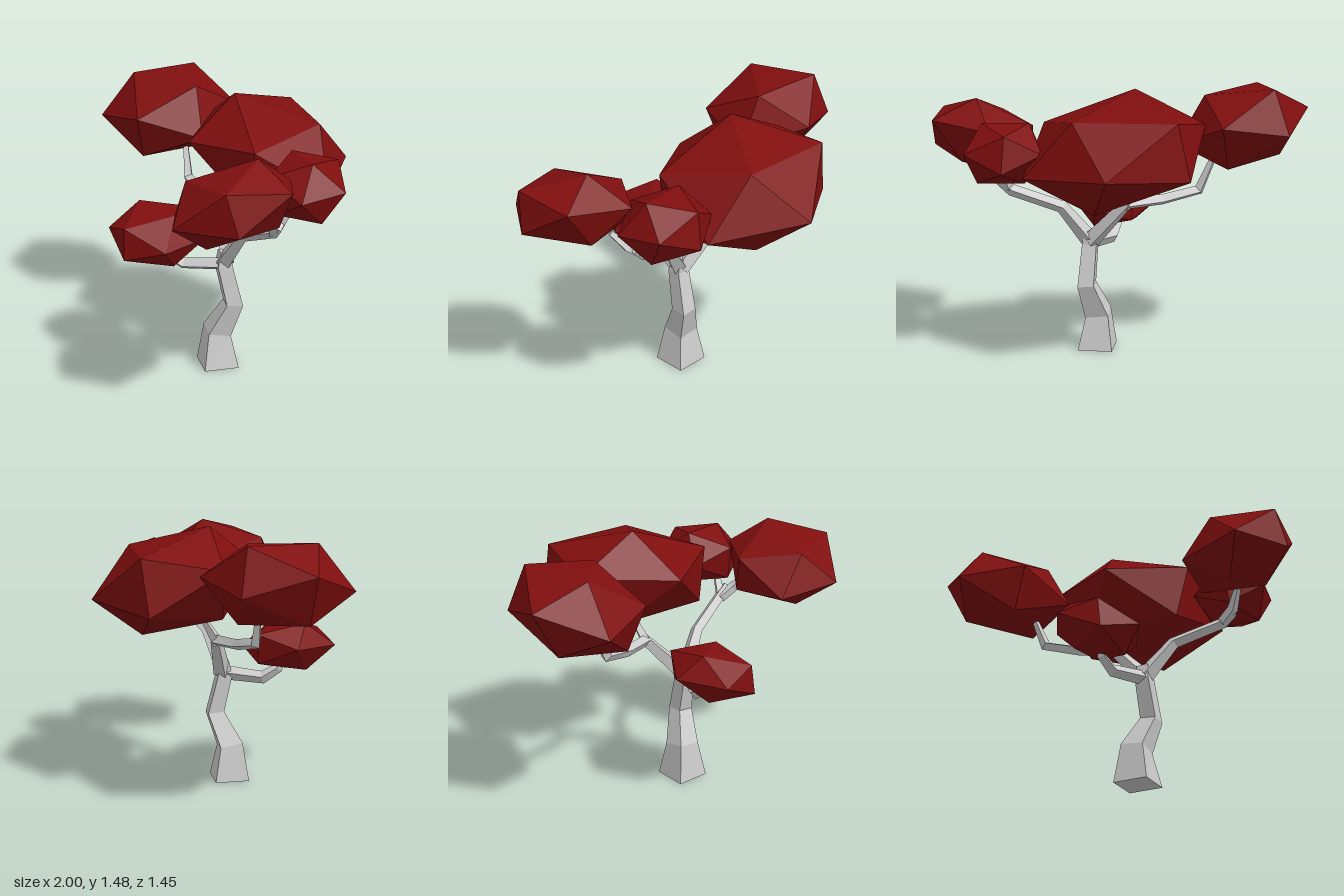
import * as THREE from 'three';
import { ConvexGeometry } from 'three/addons/geometries/ConvexGeometry.js';

const V = (a) => new THREE.Vector3(a[0], a[1], a[2]);
const bark = new THREE.MeshStandardMaterial({ color: 0xcccccc, flatShading: true });
const leaves = new THREE.MeshStandardMaterial({ color: 0x800e0e, flatShading: true });

// Four-sided limb through path points [x, y, z, radius], capped at both ends
function limb(name, path, ref) {
  const pts = path.map(V), n = pts.length, sides = 4;
  const rings = [];
  let u = V(ref);
  pts.forEach((p, i) => {
    const into = pts[Math.max(i, 1)].clone().sub(pts[Math.max(i, 1) - 1]).normalize();
    const j = Math.min(i, n - 2);
    const out = pts[j + 1].clone().sub(pts[j]).normalize();
    const t = into.add(out).normalize();
    if (p.y === 0) t.set(0, 1, 0);
    u = u.clone().addScaledVector(t, -u.dot(t)).normalize();
    const w = new THREE.Vector3().crossVectors(t, u);
    const ring = [];
    for (let k = 0; k < sides; k++) {
      const a = (k / sides) * Math.PI * 2;
      ring.push(p.clone().addScaledVector(u, Math.cos(a) * path[i][3]).addScaledVector(w, Math.sin(a) * path[i][3]));
    }
    rings.push(ring);
  });
  const pos = [];
  const tri = (...v) => v.forEach((q) => pos.push(q.x, q.y, q.z));
  for (let i = 0; i < n - 1; i++) {
    for (let k = 0; k < sides; k++) {
      const m = (k + 1) % sides;
      const a = rings[i][k], b = rings[i][m], c = rings[i + 1][m], d = rings[i + 1][k];
      tri(a, b, c);
      tri(a, c, d);
    }
  }
  const s = rings[0], e = rings[n - 1];
  tri(s[0], s[2], s[1]);
  tri(s[0], s[3], s[2]);
  tri(e[0], e[1], e[2]);
  tri(e[0], e[2], e[3]);
  const g = new THREE.BufferGeometry();
  g.setAttribute('position', new THREE.Float32BufferAttribute(pos, 3));
  g.computeVertexNormals();
  const mesh = new THREE.Mesh(g, bark);
  mesh.name = name;
  return mesh;
}

// Stretched icosahedron: one face (corners relative to the centre) fixes all twelve corners
function foliage(name, centre, face) {
  const f = face.map(V);
  const axes = [...f];
  for (let i = 0; i < 3; i++) {
    const a = f[i], b = f[(i + 1) % 3], c = f[(i + 2) % 3];
    axes.push(a.clone().add(b).multiplyScalar((Math.sqrt(5) - 1) / 2).sub(c));
  }
  const corners = axes.flatMap((p) => [p, p.clone().negate()]);
  const mesh = new THREE.Mesh(new ConvexGeometry(corners), leaves);
  mesh.position.set(...centre);
  mesh.name = name;
  return mesh;
}

export function createModel() {
  const tree = new THREE.Group();
  tree.name = 'tree';

  // Crooked trunk and its limbs
  tree.add(
    limb('trunk', [
      [0.13, 0, 0.055, 0.135], [0.125, 0.2, 0.055, 0.09], [0.2, 0.38, 0.003, 0.064],
      [0.17, 0.6, 0.045, 0.056], [0.17, 0.68, 0.035, 0.045],
    ], [0.4, 0, 0.92]),
    limb('lowBranch', [
      [0.17, 0.61, 0.05, 0.04], [0.01, 0.595, 0.2, 0.036], [-0.04, 0.65, 0.27, 0.028], [-0.05, 0.72, 0.3, 0.022],
    ], [0, 1, 0.3]),
    limb('rightBranch', [
      [0.17, 0.62, 0.045, 0.05], [0.33, 0.82, 0.035, 0.035], [0.6, 0.925, 0.04, 0.033], [0.66, 0.98, 0.06, 0.03],
    ], [0, 0, 1]),
    limb('rightFrontTwig', [[0.6, 0.925, 0.05, 0.03], [0.66, 0.98, 0.1, 0.03], [0.69, 1.06, 0.18, 0.018]], [1, 0, 0]),
    limb('rightBackTwig', [[0.62, 0.94, 0.04, 0.03], [0.66, 1.05, -0.01, 0.02]], [1, 0, 0]),
    limb('leftBranch', [
      [0.17, 0.62, 0.03, 0.05], [0.0, 0.85, -0.11, 0.036], [-0.2, 0.865, -0.11, 0.032],
      [-0.4, 0.91, -0.12, 0.032], [-0.47, 1.09, -0.15, 0.018],
    ], [0, 0, 1]),
    limb('middleTwig', [[0.0, 0.83, -0.1, 0.033], [0.0, 0.99, -0.2, 0.016]], [1, 0, 0]),
  );

  // Leaf clumps
  tree.add(
    foliage('rightSideFoliage', [-0.635, 1.26, -0.147],
      [[-0.09, 0.22, -0.24], [-0.365, 0.09, -0.02], [-0.13, 0.21, 0.152]]),
    foliage('centreFoliage', [0.11, 1.175, -0.3],
      [[-0.14, 0.305, 0.13], [-0.24, 0.185, -0.34], [0.255, 0.18, -0.14]]),
    foliage('leftBackFoliage', [0.665, 1.155, -0.11],
      [[0.045, -0.075, -0.21], [0.217, 0.013, -0.07], [0.023, 0.117, -0.185]]),
    foliage('leftFrontFoliage', [0.702, 1.174, 0.382],
      [[0.05, 0.222, -0.117], [0.295, 0.11, -0.134], [0.015, 0.064, -0.34]]),
    foliage('lowFoliage', [-0.055, 0.778, 0.328],
      [[0.23, -0.026, 0.095], [0.19, -0.015, -0.183], [0.117, 0.124, -0.04]]),
  );
  return tree;
}
